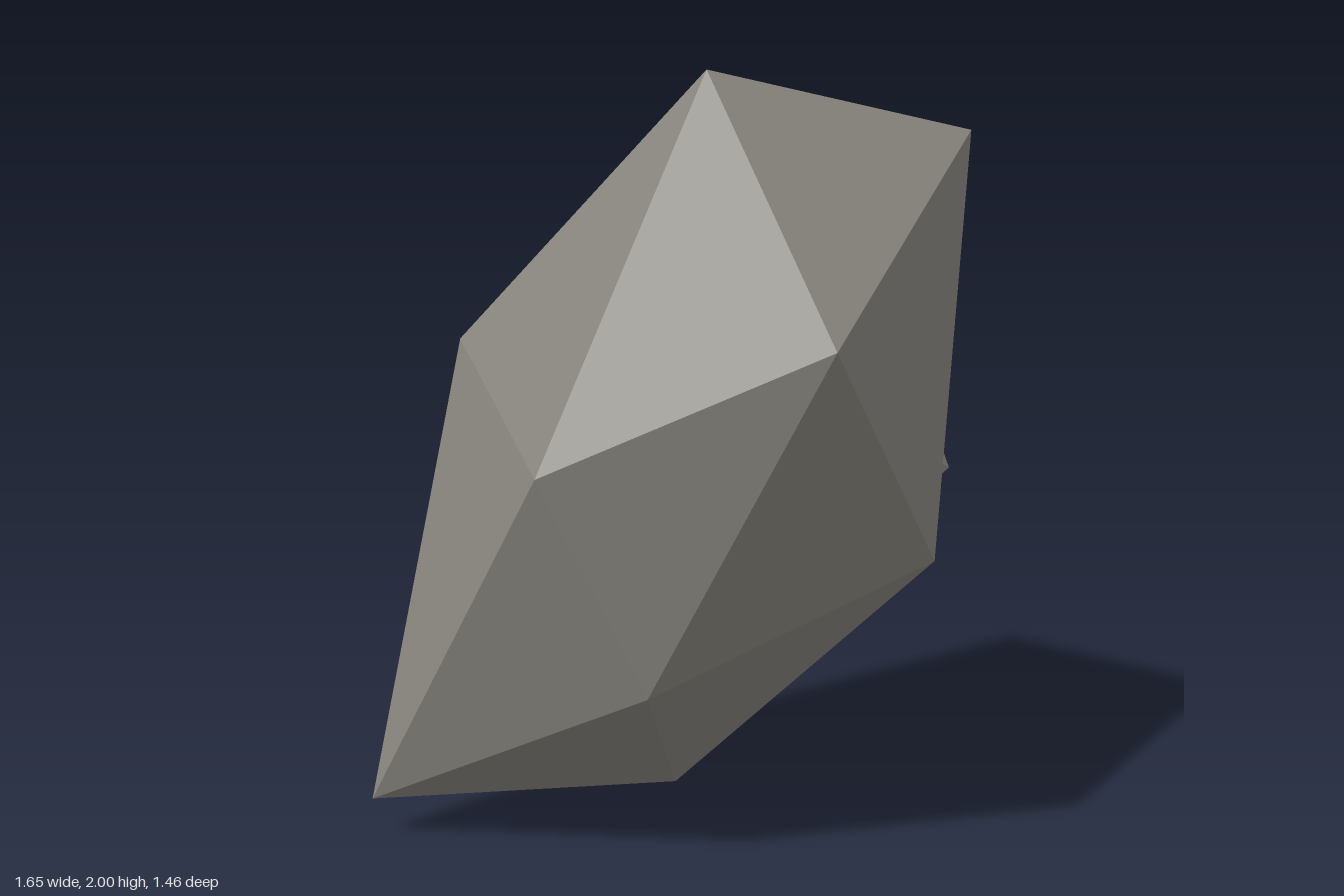
import * as THREE from 'three';

// Faceted 20-sided stone: two poles and two staggered rings of five corners.
// Rings run clockwise as seen from outside the first pole.
function stoneGeometry(pole, ring, lowerRing, lowerPole) {
  const corners = [];
  for (let i = 0; i < 5; i++) {
    const j = (i + 1) % 5;
    corners.push(
      pole, ring[j], ring[i],
      ring[i], ring[j], lowerRing[i],
      ring[j], lowerRing[j], lowerRing[i],
      lowerRing[j], lowerPole, lowerRing[i]
    );
  }
  const geometry = new THREE.BufferGeometry();
  geometry.setAttribute('position', new THREE.Float32BufferAttribute(corners.flat(), 3));
  geometry.computeVertexNormals(); // unshared corners give flat facets
  return geometry;
}

export function createModel() {
  const group = new THREE.Group();
  group.name = 'rock';
  const stone = new THREE.MeshStandardMaterial({ color: 0x8a8780 });
  stone.name = 'stoneGrey';

  const add = (name, ...shape) => {
    const mesh = new THREE.Mesh(stoneGeometry(...shape), stone);
    mesh.name = name;
    group.add(mesh);
  };

  // Tall main boulder
  add('mainBoulder',
    [-0.27, 2, 0.15],
    [[0.53, 1.84, 0.283], [-0.375, 1.37, 0.727], [-0.773, 1.04, 0.105], [-0.49, 1.29, -0.605], [0.489, 1.843, -0.575]],
    [[0.295, 0.735, 0.397], [-0.51, 0.47, 0.2], [-0.83, 0.1, -0.56], [0.09, 0.77, -0.73], [0.513, 1.0, -0.32]],
    [0.063, 0, -0.385]);

  // Small stone set into the left side, its inner corners buried
  add('sideStone',
    [0.76, 1.22, -0.18],
    [[0.825, 0.858, -0.06], [0.45, 1.05, 0.033], [0.4, 1.345, -0.19], [0.54, 1.215, -0.385], [0.803, 0.973, -0.32]],
    [[0.385, 0.68, -0.005], [0.15, 0.94, -0.13], [0.12, 1.05, -0.39], [0.485, 0.868, -0.543], [0.63, 0.665, -0.26]],
    [0.2, 0.635, -0.26]);

  return group;
}
